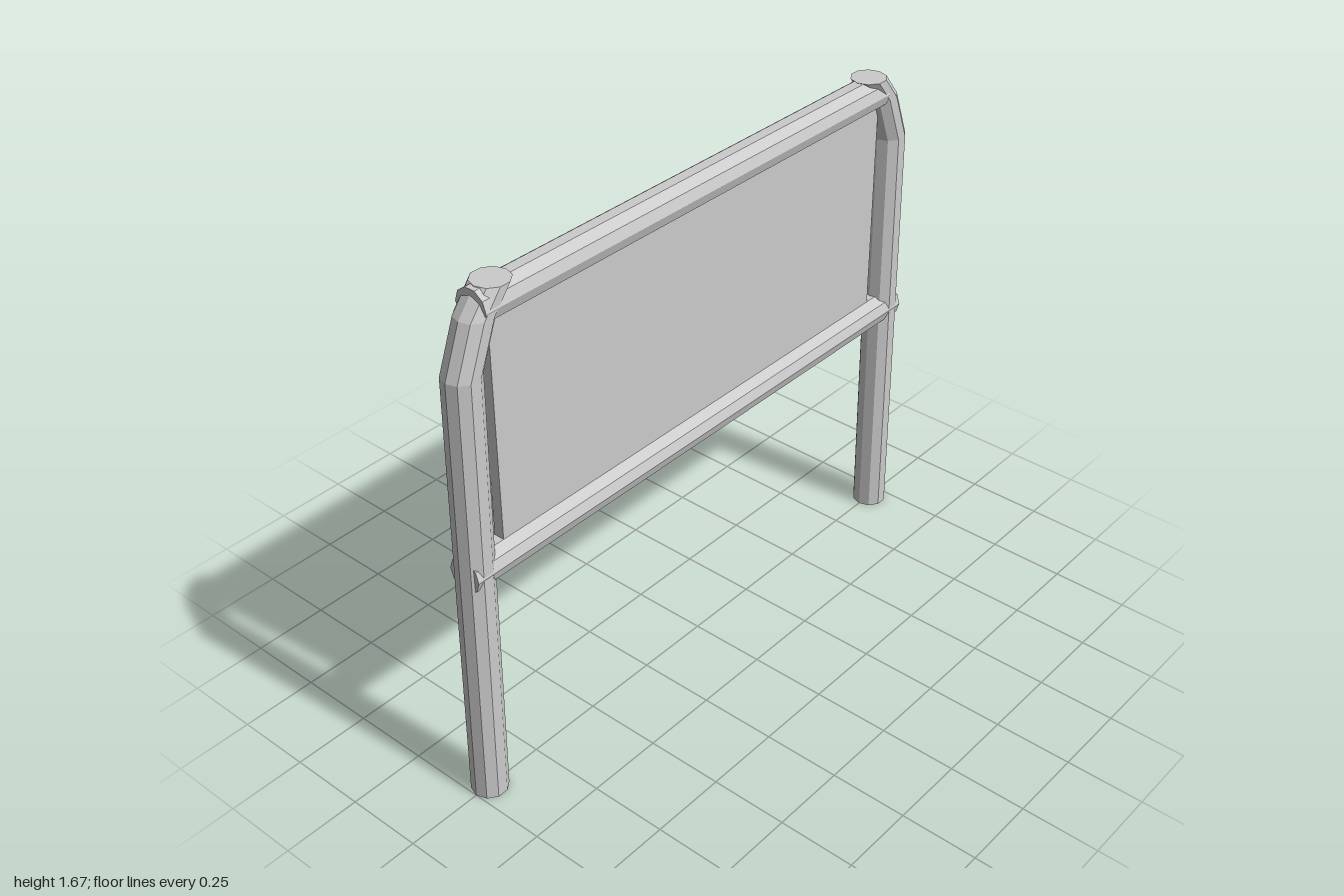
import * as THREE from 'three';

const SIDES = 10;
const material = new THREE.MeshStandardMaterial({ color: 0xcccccc, flatShading: true });

function addMesh(parent, geometry, name) {
  const mesh = new THREE.Mesh(geometry, material);
  mesh.name = name;
  parent.add(mesh);
  return mesh;
}

// Post whose level rings are shifted sideways to follow the bend
function postGeometry(rings, radius, side) {
  const positions = [];
  const index = [];
  for (const [x, y] of rings) {
    for (let i = 0; i < SIDES; i++) {
      const a = (i / SIDES) * Math.PI * 2;
      positions.push(side * x + radius * Math.cos(a), y, radius * Math.sin(a));
    }
  }
  for (let r = 0; r < rings.length - 1; r++) {
    for (let i = 0; i < SIDES; i++) {
      const a = r * SIDES + i;
      const b = r * SIDES + ((i + 1) % SIDES);
      index.push(a, a + SIDES, b, b, a + SIDES, b + SIDES);
    }
  }
  // End caps
  const top = (rings.length - 1) * SIDES;
  for (let i = 1; i < SIDES - 1; i++) {
    index.push(0, i, i + 1);
    index.push(top, top + i + 1, top + i);
  }
  const geometry = new THREE.BufferGeometry();
  geometry.setAttribute('position', new THREE.Float32BufferAttribute(positions, 3));
  geometry.setIndex(index);
  geometry.computeVertexNormals();
  return geometry;
}

// Horizontal rail between two x positions
function addRail(parent, x0, x1, y, name) {
  const geometry = new THREE.CylinderGeometry(0.056, 0.056, x1 - x0, SIDES);
  geometry.rotateZ(Math.PI / 2);
  addMesh(parent, geometry, name).position.set((x0 + x1) / 2, y, 0);
}

export function createModel() {
  const model = new THREE.Group();
  model.name = 'signFrame';

  // Leaning posts, bent inwards at the top
  const rings = [[0.943, 0], [0.922, 1.435], [0.862, 1.59], [0.8, 1.667]];
  addMesh(model, postGeometry(rings, 0.057, 1), 'leftPost');
  addMesh(model, postGeometry(rings, 0.057, -1), 'rightPost');

  // Cross rails
  addRail(model, -0.873, 0.84, 1.612, 'topRail');
  addRail(model, -0.97, 0.97, 0.81, 'lowerRail');

  // Flat panel between the rails
  addMesh(model, new THREE.BoxGeometry(1.67, 0.78, 0.035), 'panel').position.y = 1.21;

  return model;
}
